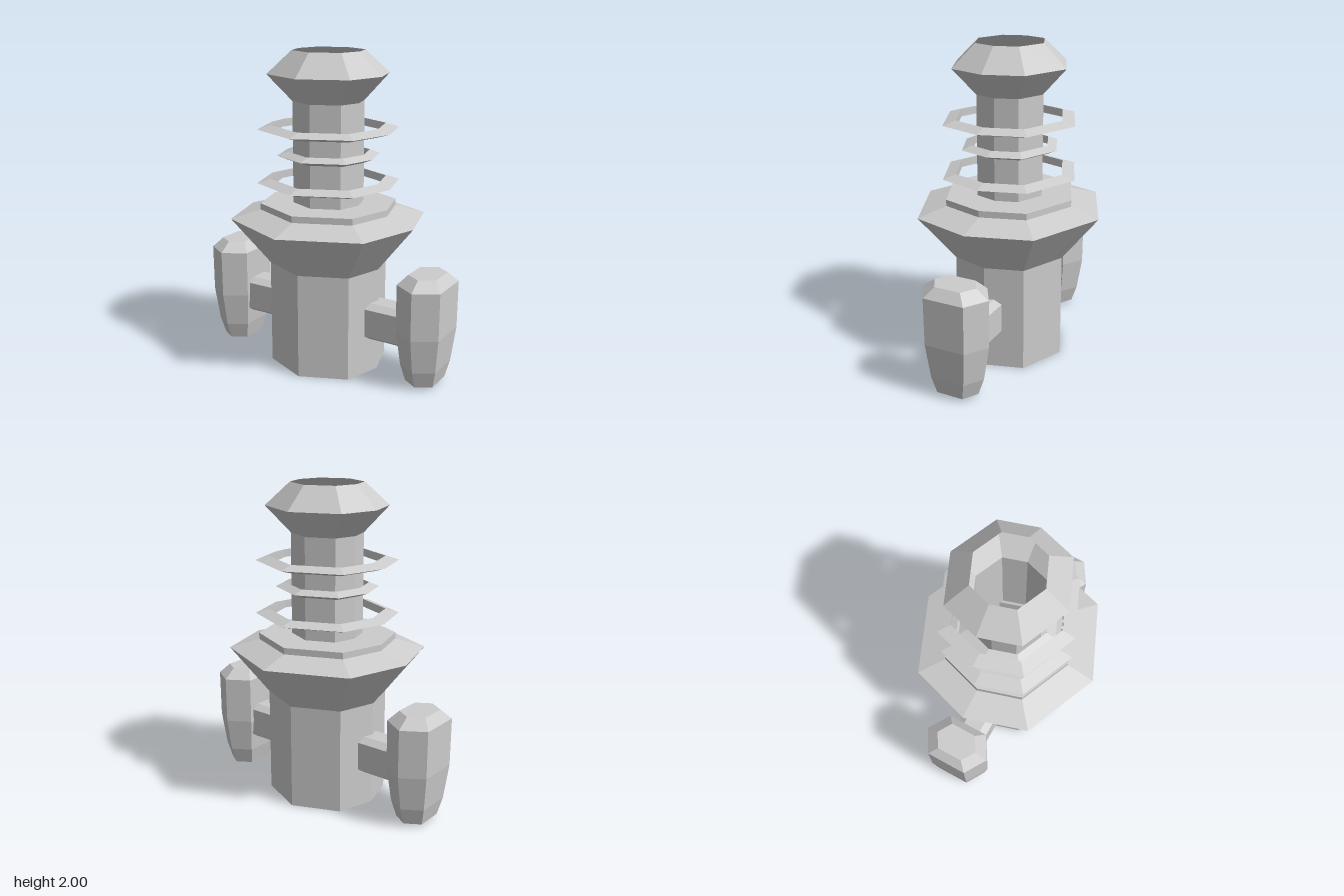
import * as THREE from 'three';

const material = new THREE.MeshStandardMaterial({ color: 0xcccccc, flatShading: true, side: THREE.DoubleSide });

// Turned shape with few sides; corners off the axes are scaled by kx and kz
function turned(name, profile, sides, kx, kz) {
  const points = profile.map(([r, y]) => new THREE.Vector2(r, y));
  const geometry = new THREE.LatheGeometry(points, sides);
  const p = geometry.attributes.position;
  for (let i = 0; i < p.count; i++) {
    const x = p.getX(i), z = p.getZ(i);
    if (Math.abs(x) > 1e-5 && Math.abs(z) > 1e-5) {
      p.setX(i, x * kx);
      p.setZ(i, z * kz);
    }
  }
  geometry.computeVertexNormals();
  const mesh = new THREE.Mesh(geometry, material);
  mesh.name = name;
  return mesh;
}

const octagon = (name, profile) => turned(name, profile, 8, 0.8 / Math.SQRT1_2, 0.655 / Math.SQRT1_2);

export function createModel() {
  const model = new THREE.Group();
  model.name = 'tower';

  // Hollow body, open at the bottom, with a flared collar
  model.add(octagon('body', [[0.36, 0], [0.36, 0.67], [0.595, 0.965], [0.415, 1.02], [0.415, 1.06], [0.215, 1.06]]));

  // Column and its open head
  model.add(octagon('column', [[0.215, 1.06], [0.215, 1.695]]));
  model.add(octagon('head', [[0.215, 1.695], [0.365, 1.86], [0.218, 2]]));

  // Floating rings with a triangular section
  for (const [y, outer, inner] of [[1.19, 0.432, 0.35], [1.36, 0.31, 0.25], [1.525, 0.427, 0.345]]) {
    model.add(octagon('ring', [[inner, y - 0.025], [outer, y], [inner, y + 0.025], [inner, y - 0.025]]));
  }

  // Arm with a bevelled section, reused on both sides
  const section = new THREE.Shape([
    [0.06, -0.12], [0.105, -0.09], [0.105, 0.09], [0.06, 0.12],
    [-0.06, 0.12], [-0.105, 0.09], [-0.105, -0.09], [-0.06, -0.12],
  ].map(([z, y]) => new THREE.Vector2(z, y)));
  const armGeometry = new THREE.ExtrudeGeometry(section, { depth: 0.25, bevelEnabled: false });
  armGeometry.rotateY(Math.PI / 2);

  for (const [side, name] of [[1, 'left'], [-1, 'right']]) {
    const arm = new THREE.Mesh(armGeometry, material);
    arm.name = name + 'Arm';
    arm.position.set(side > 0 ? 0.325 : -0.575, 0.342, 0);

    // Six-sided pod, tapering downwards
    const pod = turned(name + 'Pod', [
      [0, 0.02], [0.143, 0.02], [0.182, 0.13], [0.218, 0.35], [0.22, 0.65], [0.14, 0.71], [0, 0.71],
    ], 6, 0.75, 1.2);
    pod.position.x = side * 0.702;
    model.add(arm, pod);
  }
  return model;
}
